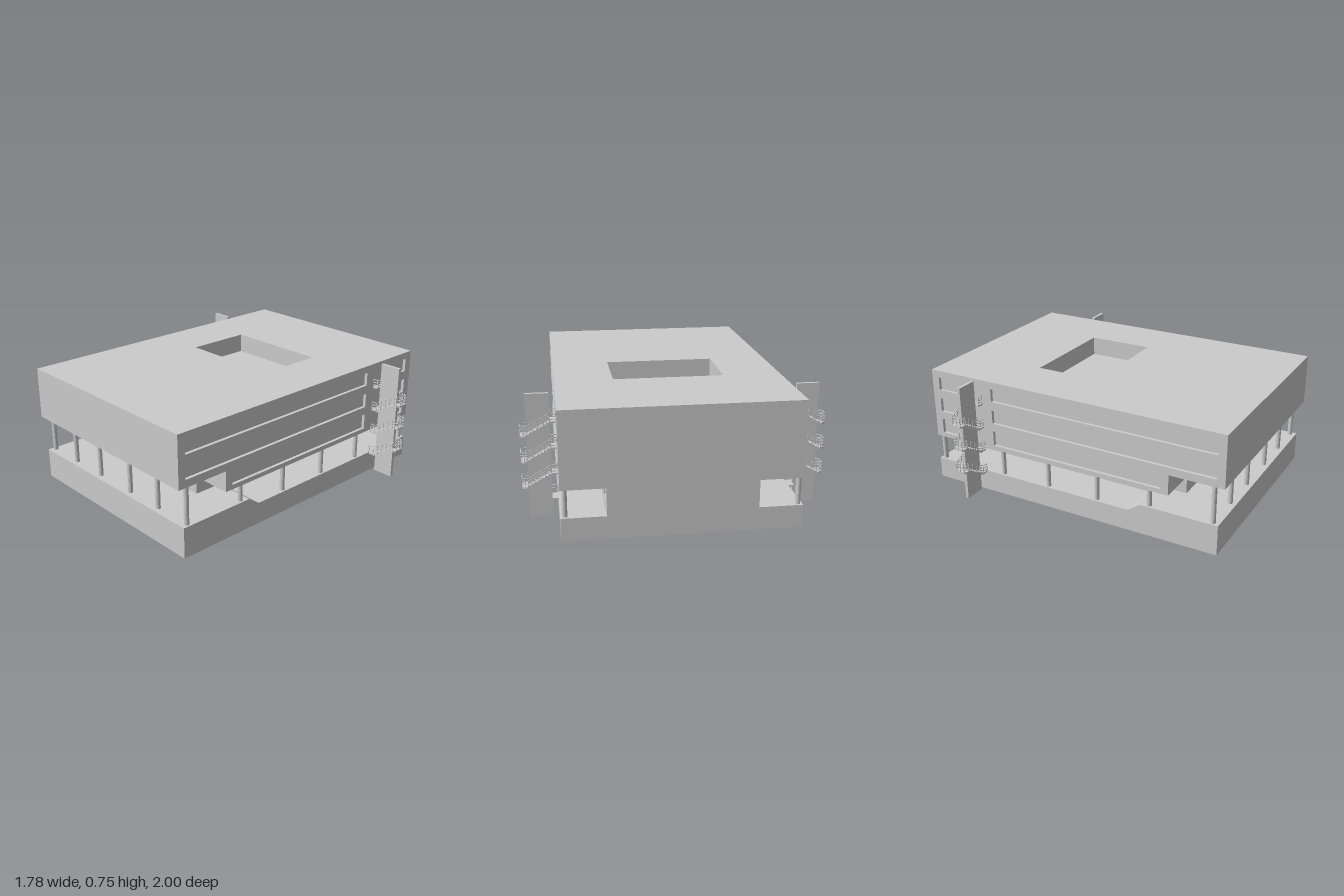
import * as THREE from 'three';
import { mergeGeometries } from 'three/addons/utils/BufferGeometryUtils.js';

const mat = new THREE.MeshStandardMaterial({ color: 0xcccccc, flatShading: true });
const W = 0.685, CORE = 0.43, T = 0.02;

function add(parent, name, geo, x = 0, y = 0, z = 0) {
  const m = new THREE.Mesh(geo, mat);
  m.name = name;
  m.position.set(x, y, z);
  parent.add(m);
  return m;
}

const toShape = pts => new THREE.Shape(pts.map(p => new THREE.Vector2(p[0], p[1])));

function rect([a0, a1, b0, b1]) {
  return new THREE.Path([[a0, b0], [a0, b1], [a1, b1], [a1, b0]].map(p => new THREE.Vector2(p[0], p[1])));
}

// Outline in (z, y), extruded towards -x from x = 0
function sidePanel(pts, depth, holes = []) {
  const s = toShape(pts);
  s.holes = holes.map(rect);
  return new THREE.ExtrudeGeometry(s, { depth, bevelEnabled: false }).rotateY(-Math.PI / 2);
}

// Outline in (x, z), extruded downwards from y = 0
function slab(pts, depth, holes = []) {
  const s = toShape(pts);
  s.holes = holes.map(rect);
  return new THREE.ExtrudeGeometry(s, { depth, bevelEnabled: false }).rotateX(Math.PI / 2);
}

// Rectangular bar between two points
function bar(a, b, w, h) {
  const d = b.clone().sub(a);
  const m = new THREE.Matrix4().lookAt(b, a, Math.abs(d.y) > 0.99 * d.length() ? new THREE.Vector3(1, 0, 0) : new THREE.Vector3(0, 1, 0));
  m.setPosition(a.clone().add(b).multiplyScalar(0.5));
  return new THREE.BoxGeometry(w, h, d.length()).applyMatrix4(m);
}

// Railing that follows a path of floor points
function railing(points) {
  const parts = [];
  const up = (p, h) => p.clone().setY(p.y + h);
  for (let i = 0; i + 1 < points.length; i++) {
    const a = points[i], b = points[i + 1];
    for (const h of [0.018, 0.036, 0.054]) parts.push(bar(up(a, h), up(b, h), 0.004, 0.004));
    const n = Math.max(1, Math.round(a.distanceTo(b) / 0.035));
    for (let k = 0; k <= n; k++) {
      const p = a.clone().lerp(b, k / n);
      parts.push(bar(p, up(p, 0.054), 0.004, 0.004));
    }
  }
  return mergeGeometries(parts);
}

// Wall plan with a recessed entrance in the front
const wallPlan = w => [[-w, -1], [w, -1], [w, 0.66], [0.28, 0.66], [0.28, 0.5], [-0.28, 0.5], [-0.28, 0.66], [-w, 0.66]];

// Stair tower on one side (s = 1 left, -1 right)
function stairTower(s) {
  const g = new THREE.Group();
  g.name = s > 0 ? 'leftStairTower' : 'rightStairTower';
  const zf = -0.62, zb = -0.705, rise = 0.155, x0 = 0.72, x1 = 0.855;
  const v = (x, y, z) => new THREE.Vector3(s * x, y, z);
  add(g, 'towerFin', new THREE.BoxGeometry(0.135, 0.745, 0.02), s * 0.7875, 0.3825, -0.655);

  for (let i = 0; i < 4; i++) {
    const y = 0.13 + i * rise, mid = y + 0.08, top = y + rise;
    add(g, 'innerLanding', new THREE.BoxGeometry(0.036, 0.01, zf - zb), s * 0.702, y, (zf + zb) / 2);
    if (i === 3) {
      add(g, 'landingRail', railing([v(0.685, y, zf), v(x0, y, zf), v(x0, y, -0.66)]));
      break;
    }
    // Chamfered turning landing
    const plan = [[x1, zf], [0.87, zf], [0.89, -0.635], [0.89, -0.69], [0.87, zb], [x1, zb]];
    add(g, 'outerLanding', slab(plan.map(([x, z]) => [s * x, z]), 0.01), 0, mid, 0);
    // Front flight up to the landing, rear flight back to the building
    for (const [ya, yb, z, w] of [[y, mid, -0.6325, 0.025], [top, mid, -0.685, 0.04]]) {
      const parts = [bar(v(x0, ya - 0.006, z), v(x1, yb - 0.006, z), w, 0.008)];
      const n = 7;
      for (let k = 0; k < n; k++) {
        const t = (k + 0.5) / n;
        parts.push(new THREE.BoxGeometry((x1 - x0) / n, 0.011, w)
          .translate(s * (x0 + t * (x1 - x0)), ya + t * (yb - ya), z));
      }
      add(g, 'stairFlight', mergeGeometries(parts));
    }
    add(g, 'stairRail', railing([
      v(0.685, y, zf), v(x0, y, zf), ...plan.map(([x, z]) => v(x, mid, z)),
      v(x0, top, zb), v(0.685, top, zb),
    ]));
  }
  return g;
}

export function createModel() {
  const model = new THREE.Group();
  model.name = 'building';

  // Base with a raised front terrace
  add(model, 'base', sidePanel([[0.97, 0], [0.97, 0.19], [0.48, 0.19], [0.4, 0.135], [-1, 0.135], [-1, 0]], 2 * W), W);

  // Ground floor core, first storey, upper storeys and roof with light well
  const iw = W - T;
  add(model, 'groundFloorCore', slab(wallPlan(CORE - T), 0.165), 0, 0.3, 0);
  add(model, 'firstStorey', slab(wallPlan(iw), 0.13), 0, 0.43, 0);
  add(model, 'upperStoreys', new THREE.BoxGeometry(2 * iw, 0.205, 2), 0, 0.5325, 0);
  add(model, 'roof', slab([[-iw, -1], [iw, -1], [iw, 1], [-iw, 1]], 0.12, [[-0.335, 0.335, -0.42, 0]]), 0, 0.755, 0);

  // Side walls with recessed windows
  const upperHoles = [];
  for (const [y0, y1, front] of [[0.328, 0.426, 0.61], [0.478, 0.568, 0.95], [0.625, 0.71, 0.95]])
    upperHoles.push([-0.55, front, y0, y1], [-0.95, -0.76, y0, y1]);
  const upperOutline = [[1, 0.755], [-1, 0.755], [-1, 0.3], [0.66, 0.3], [0.66, 0.43], [1, 0.43]];
  const coreHoles = [[-0.06, 0.11], [-0.3, -0.135], [-0.55, -0.39], [-0.965, -0.8]].map(([a, b]) => [a, b, 0.185, 0.25]);
  const coreOutline = [[0.66, 0.3], [-1, 0.3], [-1, 0.135], [0.66, 0.135]];
  for (const s of [1, -1]) {
    const shift = s > 0 ? 0 : T;
    add(model, 'sideWall', sidePanel(upperOutline, T, upperHoles), s * W + shift);
    add(model, 'coreSideWall', sidePanel(coreOutline, T, coreHoles), s * CORE + shift);
  }

  // Columns
  const column = (x, z, y0, y1) =>
    add(model, 'column', new THREE.CylinderGeometry(0.015, 0.015, y1 - y0, 16), x, (y0 + y1) / 2, z);
  for (const s of [1, -1]) {
    for (const x of [0.66, 0.41, 0.15]) column(s * x, 0.93, 0.18, 0.44);
    for (const z of [0.53, 0.18, -0.165, -0.5, -0.97]) column(s * 0.66, z, z > 0.5 ? 0.18 : 0.13, 0.31);
    model.add(stairTower(s));
  }
  return model;
}
